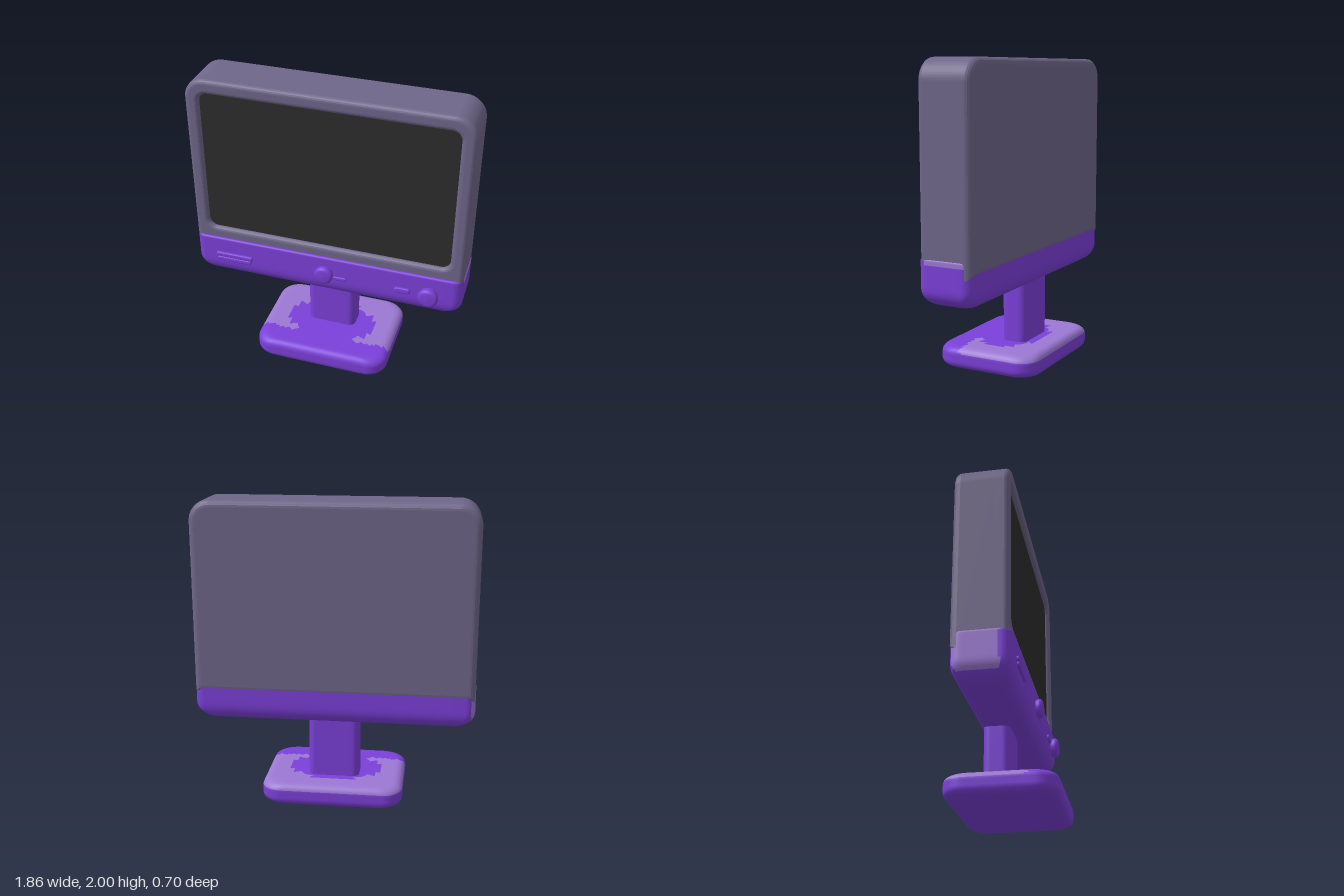
import * as THREE from 'three';

const mat = (name, color) => Object.assign(new THREE.MeshStandardMaterial({ color }), { name });
const purple = mat('purple', 0x7c40da);
const lilac = mat('lilac', 0x9c78d4);
const grey = mat('mauve grey', 0x6f678a);
const dark = mat('screen black', 0x2d2d2d);

// Rounded rectangle outline in plan, with subdivided straight sides
function planRing(hw, hd, r, y, arc = 8, side = 14) {
  r = Math.min(r, hw, hd);
  const pts = [];
  const corners = [[1, 1], [-1, 1], [-1, -1], [1, -1]];
  corners.forEach(([sx, sz], c) => {
    for (let i = 0; i <= arc; i++) {
      const a = (c + i / arc) * Math.PI / 2;
      pts.push(new THREE.Vector3(sx * (hw - r) + r * Math.cos(a), y, sz * (hd - r) + r * Math.sin(a)));
    }
    const [nx, nz] = corners[(c + 1) % 4];
    const a = (c + 1) * Math.PI / 2;
    const from = pts[pts.length - 1];
    const to = new THREE.Vector3(nx * (hw - r) + r * Math.cos(a), y, nz * (hd - r) + r * Math.sin(a));
    for (let i = 1; i < side; i++) pts.push(from.clone().lerp(to, i / side));
  });
  return pts;
}

// Stack of plan outlines with rounded lower and upper edges ([x inset, z inset, height])
function roundedBlock({ hw, hd, r, y0, y1, bottom, top, rule = () => 0 }) {
  const rings = [];
  const add = (ix, iz, y, k = 1) => rings.push(planRing((hw - ix) * k, (hd - iz) * k, r * k, y));
  const caps = [0, 0.2, 0.4, 0.55, 0.68, 0.76, 0.84, 0.9, 0.95, 0.985];
  caps.forEach(k => add(bottom[0], bottom[1], y0, k));
  const steps = 8;
  for (let i = 0; i <= steps; i++) {
    const a = i / steps * Math.PI / 2;
    add(bottom[0] * (1 - Math.sin(a)), bottom[1] * (1 - Math.sin(a)), y0 + bottom[2] * (1 - Math.cos(a)));
  }
  const ya = y0 + bottom[2], yb = y1 - top[2];
  for (let i = 1; i < 8; i++) add(0, 0, ya + (yb - ya) * i / 8);
  for (let i = 0; i <= steps; i++) {
    const a = i / steps * Math.PI / 2;
    add(top[0] * (1 - Math.cos(a)), top[1] * (1 - Math.cos(a)), yb + top[2] * Math.sin(a));
  }
  [...caps].reverse().forEach(k => add(top[0], top[1], y1, k));

  const n = rings[0].length, faces = [[], []];
  for (let j = 0; j < rings.length - 1; j++) {
    for (let i = 0; i < n; i++) {
      const k = (i + 1) % n;
      const a = j * n + i, b = j * n + k, c = a + n, d = b + n;
      const mid = rings[j][i].clone().add(rings[j + 1][k]).multiplyScalar(0.5);
      faces[rule(mid)].push(a, c, b, b, c, d);
    }
  }
  const geo = new THREE.BufferGeometry().setFromPoints(rings.flat());
  geo.setIndex(faces.flat());
  geo.addGroup(0, faces[0].length, 0);
  geo.addGroup(faces[0].length, faces[1].length, 1);
  geo.computeVertexNormals();
  return geo;
}

// Rounded rectangle in the front plane, with separate radii for top and bottom
function panel(Type, x0, x1, y0, y1, rt, rb = rt) {
  const s = new Type();
  s.moveTo(x0 + rb, y0);
  s.lineTo(x1 - rb, y0);
  if (rb) s.absarc(x1 - rb, y0 + rb, rb, -Math.PI / 2, 0);
  s.lineTo(x1, y1 - rt);
  s.absarc(x1 - rt, y1 - rt, rt, 0, Math.PI / 2);
  s.lineTo(x0 + rt, y1);
  s.absarc(x0 + rt, y1 - rt, rt, Math.PI / 2, Math.PI);
  s.lineTo(x0, y0 + rb);
  if (rb) s.absarc(x0 + rb, y0 + rb, rb, Math.PI, Math.PI * 1.5);
  return s;
}

// Extrusion between two depths with a rounded bevel kept inside them
function slab(shape, z0, z1, bevel) {
  return new THREE.ExtrudeGeometry(shape, {
    depth: z1 - z0 - 2 * bevel, bevelThickness: bevel, bevelSize: bevel, bevelOffset: -bevel,
    bevelSegments: 5, curveSegments: 12,
  }).translate(0, 0, z0 + bevel);
}

export function createModel() {
  const model = new THREE.Group();
  model.name = 'monitor';
  const add = (name, geo, material, x = 0, y = 0, z = 0) => {
    const m = new THREE.Mesh(geo, material);
    m.name = name;
    m.position.set(x, y, z);
    model.add(m);
    return m;
  };

  // Housing and recessed screen
  add('housing', slab(panel(THREE.Shape, -0.928, 0.928, 0.72, 2, 0.14, 0), -0.2, 0.1, 0.045), grey);
  const frame = panel(THREE.Shape, -0.928, 0.928, 0.72, 2, 0.14, 0);
  frame.holes.push(panel(THREE.Path, -0.835, 0.835, 0.9, 1.9, 0.06));
  add('screenFrame', slab(frame, -0.1, 0.152, 0.032), grey);
  add('screen', new THREE.ShapeGeometry(panel(THREE.Shape, -0.86, 0.86, 0.87, 1.93, 0.06)), dark, 0, 0, 0.122);

  // Control band under the screen, with paler ends
  add('controlBand', roundedBlock({
    hw: 0.932, hd: 0.184, r: 0.065, y0: 0.53, y1: 0.825,
    bottom: [0.12, 0.075, 0.11], top: [0.008, 0.015, 0.015],
    rule: p => (p.x > 0.905 && p.y > 0.785 && p.z < 0.13) ||
      (p.x < -0.905 && p.y > 0.58 && p.z < 0.11) ? 1 : 0,
  }), [purple, lilac], 0, 0, -0.014);

  // Neck
  add('neck', roundedBlock({
    hw: 0.17, hd: 0.086, r: 0.045, y0: 0.12, y1: 0.58,
    bottom: [0.0, 0.0, 0.03], top: [0.01, 0.01, 0.02],
  }), [purple, lilac], 0, 0, -0.066);

  // Foot with a pale area on the top, behind and beside the neck
  add('foot', roundedBlock({
    hw: 0.47, hd: 0.352, r: 0.13, y0: 0, y1: 0.145,
    bottom: [0.05, 0.04, 0.05], top: [0.06, 0.05, 0.05],
    rule: p => p.y > 0.108 && p.z < 0.17 && (p.x / 0.31) ** 2 + (p.z / 0.21) ** 2 > 1 ? 1 : 0,
  }), [purple, lilac]);

  // Round knobs
  const knob = (name, x, y, r, z1) => {
    const h = z1 - 0.14, e = 0.025;
    const pts = [new THREE.Vector2(r * 0.85, 0), new THREE.Vector2(r * 0.9, h - 0.055)];
    for (let i = 0; i <= 6; i++) {
      const a = i / 6 * Math.PI / 2;
      pts.push(new THREE.Vector2(r - e + e * Math.cos(a), h - e - 0.004 + e * Math.sin(a)));
    }
    pts.push(new THREE.Vector2(0, h));
    add(name, new THREE.LatheGeometry(pts, 32).rotateX(Math.PI / 2), purple, x, y, 0.14);
  };
  knob('centreKnob', 0, 0.697, 0.065, 0.218);
  knob('sideKnob', 0.716, 0.682, 0.069, 0.225);

  // Raised slot lips and small buttons
  const pill = (name, x, y, w, h, z1) =>
    add(name, slab(panel(THREE.Shape, -w / 2, w / 2, -h / 2, h / 2, h / 2 - 0.001), 0.14, z1, 0.01), purple, x, y);
  pill('slotUpperLip', -0.65, 0.697, 0.27, 0.034, 0.188);
  pill('slotLowerLip', -0.65, 0.666, 0.25, 0.034, 0.19);
  pill('smallButton', 0.538, 0.685, 0.11, 0.04, 0.186);
  pill('centreTab', 0.09, 0.672, 0.13, 0.03, 0.177);

  return model;
}
